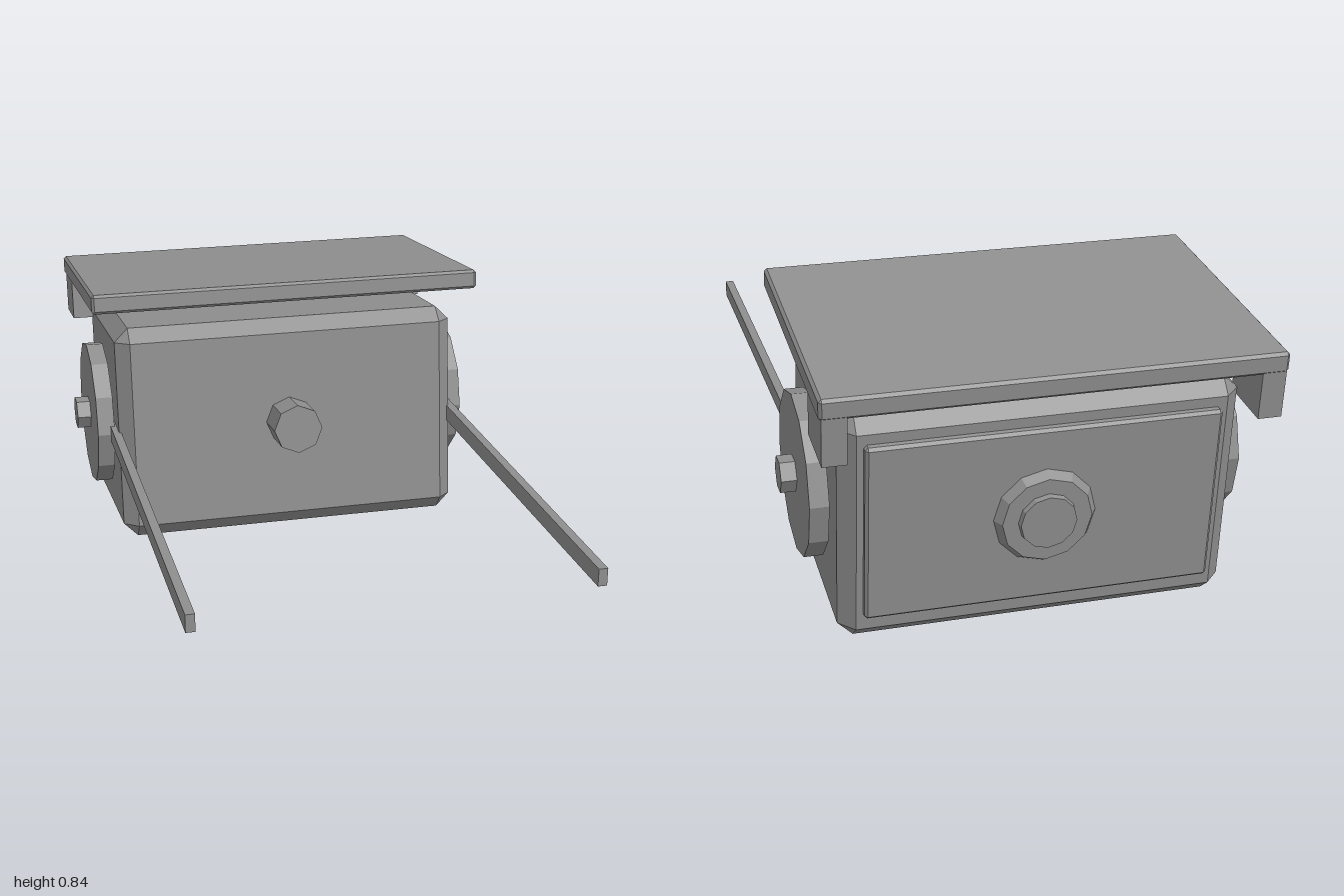
import * as THREE from 'three';
import { ConvexGeometry } from 'three/addons/geometries/ConvexGeometry.js';

const grey = new THREE.MeshStandardMaterial({ color: 0x8f8f8f, flatShading: true });
grey.name = 'plain grey';

// Box between two corners with every edge cut at 45 degrees
function chamferBox(min, max, c) {
  const points = [];
  const mid = min.map((v, i) => (v + max[i]) / 2);
  const half = min.map((v, i) => (max[i] - v) / 2);
  for (const sx of [-1, 1]) for (const sy of [-1, 1]) for (const sz of [-1, 1]) {
    for (let full = 0; full < 3; full++) {
      const p = [sx, sy, sz].map((s, i) => mid[i] + s * (half[i] - (i === full ? 0 : c)));
      points.push(new THREE.Vector3(...p));
    }
  }
  return new ConvexGeometry(points);
}

function plainBox(min, max) {
  const g = new THREE.BoxGeometry(max[0] - min[0], max[1] - min[1], max[2] - min[2]);
  return g.translate((min[0] + max[0]) / 2, (min[1] + max[1]) / 2, (min[2] + max[2]) / 2);
}

// Round part along z, from z0 (radius r0) to z1 (radius r1)
function discZ(r0, r1, z0, z1, sides) {
  return new THREE.CylinderGeometry(r1, r0, Math.abs(z1 - z0), sides)
    .rotateX(z1 > z0 ? Math.PI / 2 : -Math.PI / 2)
    .translate(0, 0, (z0 + z1) / 2);
}

// Round part along x, with a corner pointing to z
function discX(r, x0, x1, sides) {
  return new THREE.CylinderGeometry(r, r, Math.abs(x1 - x0), sides)
    .rotateZ(-Math.PI / 2)
    .translate((x0 + x1) / 2, 0, 0);
}

function add(parent, name, geometry) {
  const mesh = new THREE.Mesh(geometry, grey);
  mesh.name = name;
  parent.add(mesh);
  return mesh;
}

export function createModel() {
  const model = new THREE.Group();
  model.name = 'tiltingBox';
  const pivot = [0, 0.375, -0.535];

  // Tilted case with its lid and fittings
  const head = new THREE.Group();
  head.name = 'tiltedCase';
  head.position.set(...pivot);
  head.rotation.x = -THREE.MathUtils.degToRad(6);
  model.add(head);

  add(head, 'case', chamferBox([-0.53, -0.34, -0.322], [0.53, 0.32, 0.32], 0.042));
  add(head, 'topPlate', chamferBox([-0.6, 0.382, -0.42], [0.6, 0.44, 0.355], 0.008));
  add(head, 'frontKnob', discZ(0.075, 0.075, 0.3, 0.435, 8));
  add(head, 'backPanel', chamferBox([-0.47, -0.255, -0.345], [0.47, 0.25, -0.3], 0.008));
  add(head, 'backBoss', discZ(0.14, 0.12, -0.34, -0.37, 12));
  add(head, 'backBossCap', discZ(0.08, 0.075, -0.36, -0.385, 12));

  // Level pivots, arms and plate brackets on both sides
  for (const s of [-1, 1]) {
    const side = s > 0 ? 'left' : 'right';
    const span = (a, b) => (s > 0 ? [a, b] : [-b, -a]);

    const [b0, b1] = span(0.53, 0.594);
    add(head, side + 'PlateBracket', plainBox([b0, 0.258, -0.418], [b1, 0.39, -0.25]));

    const [d0, d1] = span(0.536, 0.588);
    add(model, side + 'PivotDisc', discX(0.225, d0, d1, 12)).position.set(...pivot);

    const [h0, h1] = span(0.5, 0.63);
    add(model, side + 'PivotHub', discX(0.05, h0, h1, 6)).position.set(...pivot);

    const [a0, a1] = span(0.523, 0.548);
    add(model, side + 'Arm', plainBox([a0, 0.351, pivot[2]], [a1, 0.4, 1]));
  }
  return model;
}
